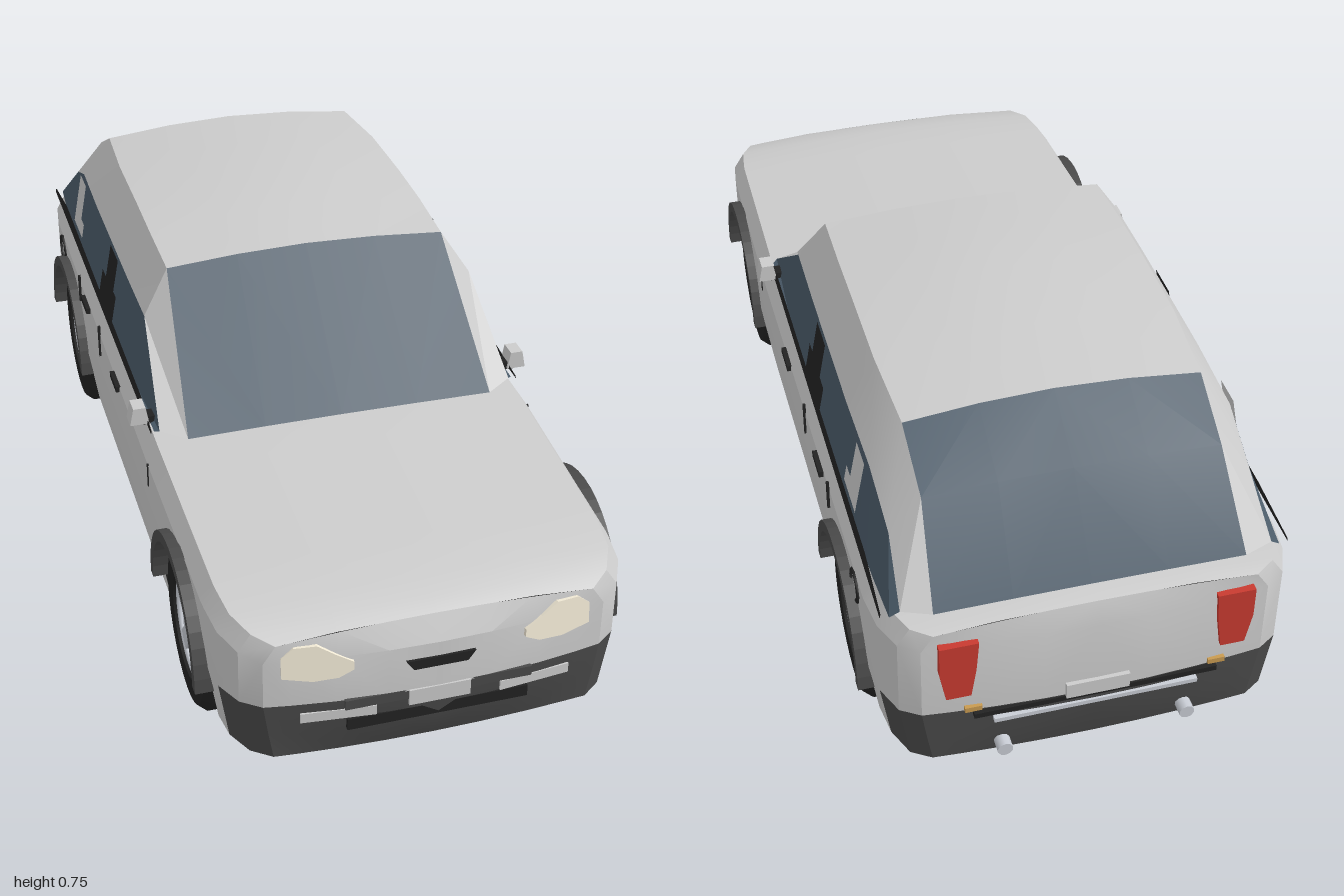
import * as THREE from 'three';
import { toCreasedNormals } from 'three/addons/utils/BufferGeometryUtils.js';

const mat = (color) => new THREE.MeshStandardMaterial({ color, side: THREE.DoubleSide });
const M = {
  paint: mat(0xcccccc), glass: mat(0x4a5a68), dark: mat(0x4a4a4a), black: mat(0x222222),
  lamp: mat(0xf2ead6), red: mat(0xc83a30), silver: mat(0xc8ccd4), plate: mat(0xdddddd), amber: mat(0xc89a50),
};

// Surface through rows of points on the +x side, mirrored to -x.
// Columns run outward from the centre, rows run front to rear; pick(i, j) chooses the material.
function grid(parent, name, rows, pick) {
  const sets = {};
  for (const s of [1, -1]) {
    const p = (i, j) => new THREE.Vector3(rows[i][j][0] * s, rows[i][j][1], rows[i][j][2]);
    for (let i = 0; i < rows.length - 1; i++) for (let j = 0; j < rows[i].length - 1; j++) {
      const out = (sets[pick(i, j)] ??= []);
      const [a, b, c, d] = [p(i, j), p(i, j + 1), p(i + 1, j + 1), p(i + 1, j)];
      for (const t of [[a, b, c], [a, c, d]]) {
        if (new THREE.Triangle(...t).getArea() < 1e-7) continue;
        if (s < 0) t.reverse();
        t.forEach((v) => out.push(v.x, v.y, v.z));
      }
    }
  }
  for (const key in sets) {
    const g = new THREE.BufferGeometry();
    g.setAttribute('position', new THREE.Float32BufferAttribute(sets[key], 3));
    add(parent, name + key[0].toUpperCase() + key.slice(1), toCreasedNormals(g, 0.4), M[key]);
  }
}

function add(parent, name, geo, material, x = 0, y = 0, z = 0) {
  const m = new THREE.Mesh(geo, material);
  m.name = name;
  m.position.set(x, y, z);
  parent.add(m);
  return m;
}
const box = (parent, name, material, [w, h, d], [x, y, z]) =>
  add(parent, name, new THREE.BoxGeometry(w, h, d), material, x, y, z);
const extrude = (pts, depth) => new THREE.ExtrudeGeometry(
  new THREE.Shape(pts.map((p) => new THREE.Vector2(...p))), { depth, bevelEnabled: false });

// Body stations: z, top height, half width
const KEYS = [[0.965, 0.385, 0.345], [0.935, 0.4, 0.385], [0.88, 0.412, 0.412], [0.8, 0.42, 0.422],
  [0.34, 0.445, 0.43], [-0.8, 0.458, 0.425], [-0.88, 0.46, 0.415], [-0.94, 0.46, 0.39], [-0.965, 0.455, 0.35]];
const AXLES = [0.625, -0.615], WHEEL_Y = 0.175, ARCH = 0.195;

function at(z) {
  let i = 0;
  while (i < KEYS.length - 2 && z < KEYS[i + 1][0]) i++;
  const [a, b] = [KEYS[i], KEYS[i + 1]], t = (z - a[0]) / (b[0] - a[0]);
  return [1, 2].map((k) => a[k] + (b[k] - a[k]) * t);
}

// Half cross-section of the body; yb is the lower edge of the side, raised over the wheels
function section(z, yb = 0.1) {
  const [top, w] = at(z), tuck = 0.02 * Math.max(0, (0.23 - yb) / 0.13);
  return [[0, top, z], [0.2, top - 0.003, z], [w - 0.025, top - 0.012, z], [w, top - 0.05, z],
    [w, Math.max(0.23, yb), z], [w - tuck, yb, z], [0.28, yb, z], [0.28, 0.1, z], [0, 0.085, z]];
}

function buildBody(car) {
  const arch = (zc) => {
    const rows = [section(zc + ARCH)];
    for (let k = 0; k <= 12; k++) {
      const a = (k / 12) * Math.PI;
      rows.push(section(zc + ARCH * Math.cos(a), WHEEL_Y + ARCH * Math.sin(a)));
    }
    return [...rows, section(zc - ARCH)];
  };
  const plain = (...zs) => zs.map((z) => section(z));
  const rows = [...plain(0.965, 0.935, 0.88), ...arch(AXLES[0]), ...plain(0.34, 0, -0.3),
    ...arch(AXLES[1]), ...plain(-0.88, -0.94, -0.965)];
  grid(car, 'body', rows, (i, j) => {
    if (j >= 5) return 'black';
    return j === 4 && (i < 2 || i >= rows.length - 3) ? 'dark' : 'paint';
  });

  // Bulged nose and tail faces: levels of half width offset, height, bulge, crown
  for (const [name, z, dir, bulge] of [['nose', 0.965, 1, 0.032], ['tail', -0.965, -1, 0.02]]) {
    const [top, w] = at(z);
    const levels = [[-0.02, 0.1, 0, -0.015], [-0.01, 0.16, 0.9, 0], [0, 0.23, 1, 0],
      [0, top - 0.05, 0.85, 0], [-0.025, top - 0.012, 0, 0.012]];
    const face = levels.map(([dx, y, b, crown]) => [0, 0.3, 0.6, 0.85, 1].map((t) =>
      [t * (w + dx), y + crown * (1 - t * t), z + dir * b * bulge * (1 - t * t)]));
    if (dir < 0) face.reverse();
    grid(car, name, face, (i) => ((dir > 0 ? i < 2 : i >= 2) ? 'dark' : 'paint'));
  }
}

function buildCabin(car) {
  // Columns: centre, mid, roof edge, shoulder, belt
  const row = (z, yc, x2, y2, x3, y3, z3, x4, z4) => [[0, yc, z], [x2 / 2, yc - (yc - y2) * 0.28, z],
    [x2, y2, z], [x3, y3, z3], [x4, 0.448, z4]];
  const rows = [
    row(0.34, 0.445, 0.34, 0.442, 0.395, 0.452, 0.31, 0.405, 0.3),
    row(0.06, 0.72, 0.315, 0.703, 0.375, 0.61, 0.09, 0.407, 0.06),
    row(-0.1, 0.738, 0.318, 0.712, 0.377, 0.612, -0.1, 0.408, -0.1),
    row(-0.25, 0.745, 0.318, 0.716, 0.377, 0.613, -0.25, 0.408, -0.25),
    row(-0.45, 0.74, 0.317, 0.714, 0.377, 0.613, -0.45, 0.408, -0.45),
    row(-0.645, 0.725, 0.305, 0.702, 0.373, 0.61, -0.65, 0.407, -0.645),
    row(-0.785, 0.638, 0.302, 0.63, 0.367, 0.555, -0.785, 0.402, -0.785),
    row(-0.925, 0.462, 0.315, 0.46, 0.375, 0.463, -0.905, 0.395, -0.9),
  ];
  grid(car, 'cabin', rows, (i, j) => {
    const screen = (i === 0 || i >= 5) && j < 2;
    return screen || j === 3 ? 'glass' : 'paint';
  });

  // Belt trim and door pillars laid just outside the side windows: z, low y, high y
  const strip = (name, key, pts) => grid(car, name, pts.map(([z, lo, hi]) =>
    [hi, lo].map((y) => [0.413 - 0.19 * (y - 0.45), y, z])), () => key);
  strip('beltTrim', 'black', [[0.31, 0.448, 0.455], [0.2, 0.448, 0.47], [-0.75, 0.45, 0.478], [-0.9, 0.45, 0.46]]);
  strip('middlePillar', 'black', [[-0.14, 0.47, 0.535], [-0.17, 0.47, 0.535], [-0.17, 0.47, 0.612],
    [-0.255, 0.47, 0.612], [-0.255, 0.47, 0.53], [-0.295, 0.47, 0.53]]);
  strip('rearPillar', 'paint', [[-0.54, 0.49, 0.525], [-0.575, 0.49, 0.525], [-0.575, 0.49, 0.612], [-0.645, 0.49, 0.612]]);
}

function buildWheel() {
  const wheel = new THREE.Group();
  const profile = [[0.1, -0.055], [0.16, -0.06], [0.175, -0.042], [0.175, 0.042], [0.16, 0.06], [0.112, 0.06], [0.105, 0.035]];
  const tyre = new THREE.LatheGeometry(profile.map((p) => new THREE.Vector2(...p)), 28).rotateZ(-Math.PI / 2);
  add(wheel, 'tyre', toCreasedNormals(tyre, 0.5), M.black);
  const disc = (name, r, len, x, m) => add(wheel, name, new THREE.CylinderGeometry(r, r, len, 24).rotateZ(Math.PI / 2), m, x);
  disc('rimBack', 0.106, 0.085, -0.01, M.dark);
  disc('hub', 0.028, 0.02, 0.047, M.silver);
  add(wheel, 'rimRing', new THREE.TorusGeometry(0.105, 0.007, 6, 28).rotateY(Math.PI / 2), M.silver, 0.048);
  const spoke = extrude([[-0.015, 0.01], [0.015, 0.01], [0.022, 0.104], [-0.022, 0.104]], 0.018).rotateY(Math.PI / 2);
  for (let k = 0; k < 5; k++) add(wheel, 'spoke', spoke, M.silver, 0.034).rotation.x = (k * Math.PI * 2) / 5;
  return wheel;
}

function buildSide(car, s) {
  for (const z of AXLES) {
    const wheel = buildWheel();
    wheel.name = z > 0 ? 'frontWheel' : 'rearWheel';
    wheel.position.set(s * 0.361, WHEEL_Y, z);
    if (s < 0) wheel.rotation.y = Math.PI;
    car.add(wheel);
    // Wheel arch flare
    const ring = new THREE.Shape().absarc(0, 0, 0.207, 0, Math.PI, false);
    ring.absarc(0, 0, 0.183, Math.PI, 0, true);
    const flare = new THREE.ExtrudeGeometry(ring, { depth: 0.04, bevelEnabled: false, curveSegments: 10 });
    flare.rotateY(Math.PI / 2).translate(-0.02, 0, 0);
    add(car, 'archFlare', flare, M.dark, s * 0.428, WHEEL_Y, z);
  }
  // Mirror
  const housing = extrude([[0.408, 0.45], [0.45, 0.45], [0.442, 0.49], [0.415, 0.49]].map(([x, y]) => [s * x, y]), 0.04);
  add(car, 'mirror', housing, M.paint, 0, 0, 0.23);
  box(car, 'mirrorArm', M.black, [0.035, 0.018, 0.03], [s * 0.405, 0.455, 0.25]);
  // Door handles, shut lines and filler flap
  for (const z of [-0.005, -0.375]) box(car, 'doorHandle', M.black, [0.012, 0.014, 0.072], [s * 0.431, 0.395, z]);
  for (const [z, y, h] of [[0.345, 0.37, 0.055], [-0.21, 0.385, 0.08], [-0.47, 0.39, 0.07]])
    box(car, 'shutLine', M.black, [0.006, h, 0.006], [s * 0.429, y, z]);
  const flap = new THREE.TorusGeometry(0.034, 0.004, 4, 8).rotateY(Math.PI / 2);
  add(car, 'fillerFlap', flap, M.black, s * 0.427, 0.372, -0.725);
  // Lamps
  const lamp = [[0.17, 0.305], [0.2, 0.29], [0.25, 0.287], [0.31, 0.3], [0.31, 0.345], [0.285, 0.365],
    [0.24, 0.365], [0.205, 0.342], [0.17, 0.322]].map(([x, y]) => [s * (x - 0.24), y - 0.325]);
  const head = add(car, 'headlight', extrude(lamp, 0.02), M.lamp, s * 0.24, 0.325, 0.963);
  head.rotation.set(-0.12, s * 0.13, 0);
  const tail = [[0.255, 0.28], [0.305, 0.28], [0.318, 0.35], [0.318, 0.42], [0.24, 0.42], [0.245, 0.35]];
  add(car, 'tailLight', extrude(tail.map(([x, y]) => [s * x, y]), 0.02), M.red, 0, 0, -0.982);
  box(car, 'rearReflector', M.amber, [0.035, 0.012, 0.02], [s * 0.25, 0.238, -0.972]);
  // Front bumper inserts and exhaust
  box(car, 'bumperInsert', M.plate, [0.15, 0.022, 0.02], [s * 0.2, 0.197, 0.977]).rotation.y = s * 0.1;
  add(car, 'exhaust', new THREE.CylinderGeometry(0.016, 0.016, 0.1, 10).rotateX(Math.PI / 2), M.silver, s * 0.19, 0.122, -0.95);
}

function buildEnds(car) {
  const slot = extrude([[-0.055, 0.282], [0.055, 0.282], [0.07, 0.304], [-0.07, 0.304]], 0.02);
  add(car, 'noseSlot', slot, M.black, 0, 0, 0.978);
  box(car, 'upperGrille', M.dark, [0.38, 0.022, 0.02], [0, 0.222, 0.985]);
  box(car, 'lowerGrille', M.black, [0.37, 0.026, 0.02], [0, 0.172, 0.984]);
  box(car, 'frontPlate', M.plate, [0.125, 0.036, 0.015], [0, 0.215, 0.992]);
  box(car, 'rearPlate', M.plate, [0.13, 0.036, 0.015], [0, 0.245, -0.985]);
  box(car, 'rearBumperLine', M.black, [0.5, 0.012, 0.02], [0, 0.222, -0.977]);
  box(car, 'rearBumperStrip', M.silver, [0.42, 0.01, 0.02], [0, 0.2, -0.979]);
}

export function createModel() {
  const car = new THREE.Group();
  car.name = 'car';
  buildBody(car);
  buildCabin(car);
  for (const s of [1, -1]) buildSide(car, s);
  buildEnds(car);
  return car;
}
